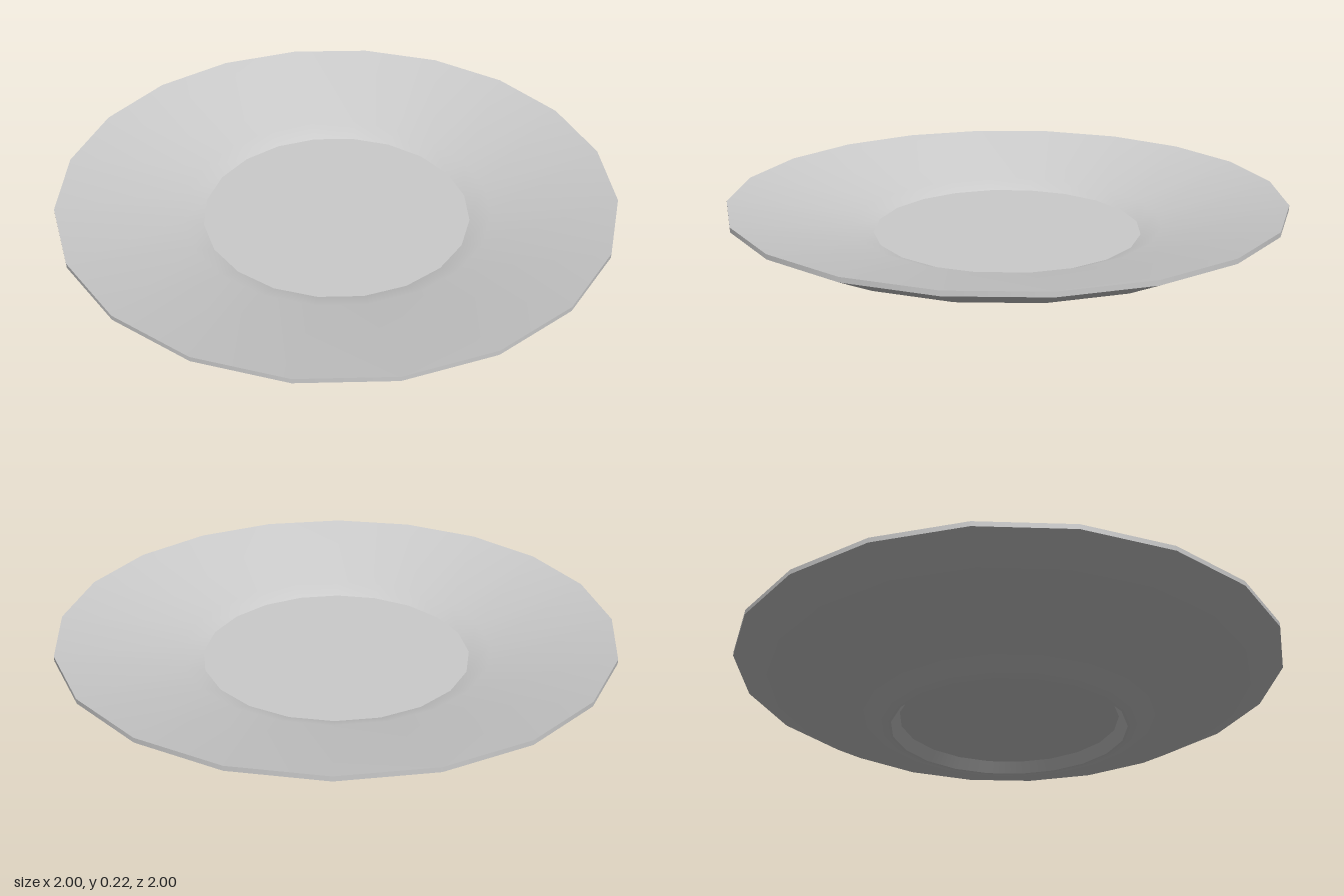
import * as THREE from 'three';

const SIDES = 20;

export function createModel() {
  const plate = new THREE.Group();
  plate.name = 'plate';
  const material = new THREE.MeshStandardMaterial({ color: 0xcccccc });

  // Each band is smooth in itself; the joins between bands stay sharp.
  // Profiles are [radius, height], running from the base outwards and back over the top.
  const band = (name, profile) => {
    const points = profile.map(([r, y]) => new THREE.Vector2(r, y));
    const mesh = new THREE.Mesh(new THREE.LatheGeometry(points, SIDES), material);
    mesh.name = name;
    plate.add(mesh);
  };

  // Flat disc, facing up or down
  const disc = (name, radius, y, up) => {
    const geometry = new THREE.CircleGeometry(radius, SIDES);
    geometry.rotateX(up ? -Math.PI / 2 : Math.PI / 2);
    const mesh = new THREE.Mesh(geometry, material);
    mesh.name = name;
    mesh.position.y = y;
    plate.add(mesh);
  };

  // Underside: recess inside the foot, foot, and flared body
  disc('baseRecess', 0.4, 0.04, false);
  band('footInnerWall', [[0.4, 0.04], [0.43, 0]]);
  band('footEdge', [[0.43, 0], [0.44, 0]]);
  band('underside', [[0.44, 0], [0.5, 0.018], [0.55, 0.053], [0.845, 0.125], [1, 0.205]]);

  // Thin upright rim
  band('rim', [[1, 0.205], [1, 0.222]]);

  // Eating surface: sloped border, short steep wall, flat well
  band('border', [[1, 0.222], [0.565, 0.115], [0.49, 0.085]]);
  disc('well', 0.49, 0.085, true);

  return plate;
}
